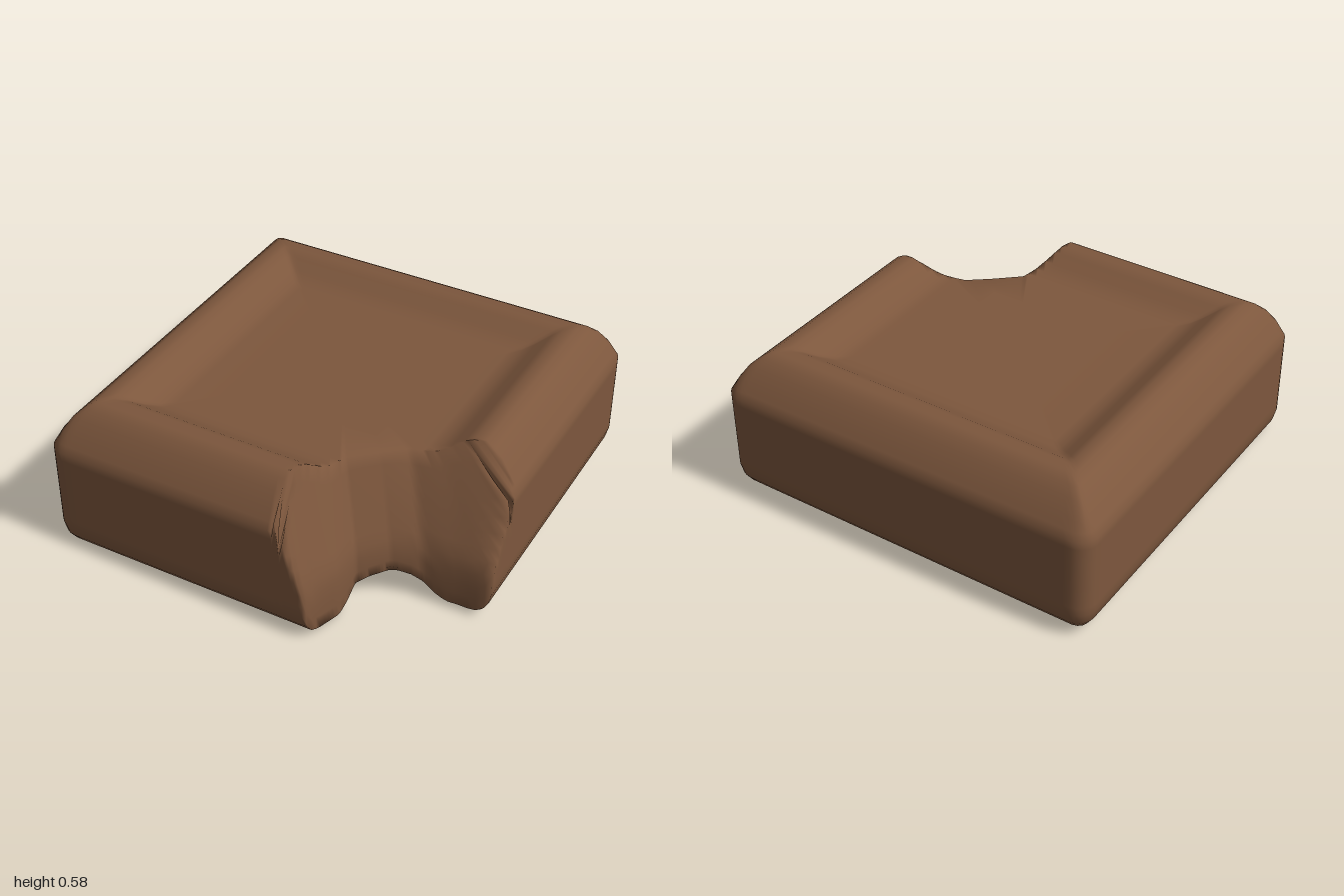
import * as THREE from 'three';
import { mergeVertices } from 'three/addons/utils/BufferGeometryUtils.js';

// Half sizes across the two diagonals, corner radius, middle in z, columns around
const HALF_A = 0.745, HALF_B = 0.731, ROUND = 0.07, CZ = 0.12, SEGMENTS = 360;

// Piecewise linear lookup
function lookup(xs, ys, x) {
  if (x <= xs[0]) return ys[0];
  for (let i = 1; i < xs.length; i++) {
    if (x <= xs[i]) return THREE.MathUtils.mapLinear(x, xs[i - 1], xs[i], ys[i - 1], ys[i]);
  }
  return ys[ys.length - 1];
}

// Height of the top and underside by distance in from the outer edge
const topD = [0, 0.015, 0.035, 0.07, 0.1, 0.13, 0.17, 0.2, 0.24, 0.28, 0.32, 0.5];
const topY = [0.42, 0.445, 0.48, 0.53, 0.56, 0.58, 0.578, 0.563, 0.535, 0.515, 0.51, 0.51];
const baseD = [0, 0.01, 0.03, 0.06, 0.16, 0.2, 0.24, 0.28, 0.32, 0.5];
const baseY = [0.09, 0.045, 0.015, 0, 0, 0.02, 0.055, 0.085, 0.1, 0.1];

// Bitten edge: furthest z for each x, at the foot and at the top
const biteX = [-0.46, -0.4, -0.36, -0.28, -0.2, -0.12, 0, 0.1, 0.2, 0.28, 0.34, 0.42];
const biteFoot = [0.95, 0.88, 0.84, 0.79, 0.75, 0.68, 0.69, 0.73, 0.82, 0.9, 0.95, 1.1];
const biteTop = [0.78, 0.69, 0.66, 0.62, 0.57, 0.52, 0.525, 0.53, 0.59, 0.65, 0.7, 0.8];

function biteLimit(x, y) {
  if (x < biteX[0] || x > biteX[biteX.length - 1]) return Infinity;
  const t = lookup([0.12, 0.2, 0.57], [0, 0.06, 1], y);
  return THREE.MathUtils.lerp(lookup(biteX, biteFoot, x), lookup(biteX, biteTop, x), t);
}

// Distance in from the edge of a rounded block standing on its corner
function inset(x, z) {
  const a = Math.abs(x + z - CZ) / Math.SQRT2 - HALF_A + ROUND;
  const b = Math.abs(x - z + CZ) / Math.SQRT2 - HALF_B + ROUND;
  return ROUND - Math.hypot(Math.max(a, 0), Math.max(b, 0)) - Math.min(Math.max(a, b), 0);
}

// Point where a ray from the middle meets the inset outline or the bite
function edgePoint(angle, d, heightAt) {
  const s = Math.sin(angle), c = Math.cos(angle);
  let lo = 0, hi = 1.2;
  for (let i = 0; i < 24; i++) {
    const r = (lo + hi) / 2, x = s * r, z = CZ + c * r, edge = inset(x, z);
    if (edge >= d && z <= biteLimit(x, heightAt(edge))) lo = r; else hi = r;
  }
  const x = s * lo, z = CZ + c * lo;
  return [x, heightAt(inset(x, z)), z];
}

const topHeight = d => lookup(topD, topY, d);
const baseHeight = d => lookup(baseD, baseY, d);

function bittenBlock() {
  // Points from the middle of the top, over the rim, down the side and under
  const columnAt = angle => {
    const top = topD.slice().reverse().map(d => edgePoint(angle, d, topHeight));
    const base = baseD.map(d => edgePoint(angle, d, baseHeight));
    const upper = top[top.length - 1][1], lower = base[0][1];
    const side = [];
    for (let i = 1; i < 10; i++) {
      const y = THREE.MathUtils.lerp(upper, lower, i / 10);
      side.push(edgePoint(angle, 0, () => y));
    }
    return [...top, ...side, ...base];
  };

  // The foot leans to one side and the top drops slightly to the back
  const positions = [], index = [];
  const put = (x, y, z) => {
    const tilt = THREE.MathUtils.lerp(0.022 + 0.02 * x, 0.006 * x + 0.01 * z - 0.003, y / 0.58);
    positions.push(x, y + tilt, z);
  };
  for (let j = 0; j < SEGMENTS; j++) {
    columnAt(j / SEGMENTS * Math.PI * 2).forEach(p => put(...p));
  }
  const rows = positions.length / 3 / SEGMENTS;
  const topMid = rows * SEGMENTS;
  put(0, 0.51, CZ);
  put(0, 0.1, CZ);

  // Skin between neighbouring columns, closed by the two recess floors
  for (let j = 0; j < SEGMENTS; j++) {
    const here = j * rows, next = ((j + 1) % SEGMENTS) * rows;
    for (let i = 0; i < rows - 1; i++) {
      index.push(here + i, here + i + 1, next + i + 1, here + i, next + i + 1, next + i);
    }
    index.push(topMid, here, next, topMid + 1, next + rows - 1, here + rows - 1);
  }
  let geometry = new THREE.BufferGeometry();
  geometry.setAttribute('position', new THREE.Float32BufferAttribute(positions, 3));
  geometry.setIndex(index);
  geometry = mergeVertices(geometry, 1e-4);
  geometry.computeVertexNormals();
  return geometry;
}

export function createModel() {
  const chocolate = new THREE.MeshStandardMaterial({ color: 0x7d573d });
  chocolate.name = 'chocolate brown';
  const block = new THREE.Mesh(bittenBlock(), chocolate);
  block.name = 'bittenChocolateBlock';
  const group = new THREE.Group();
  group.name = 'chocolatePiece';
  group.add(block);
  return group;
}
